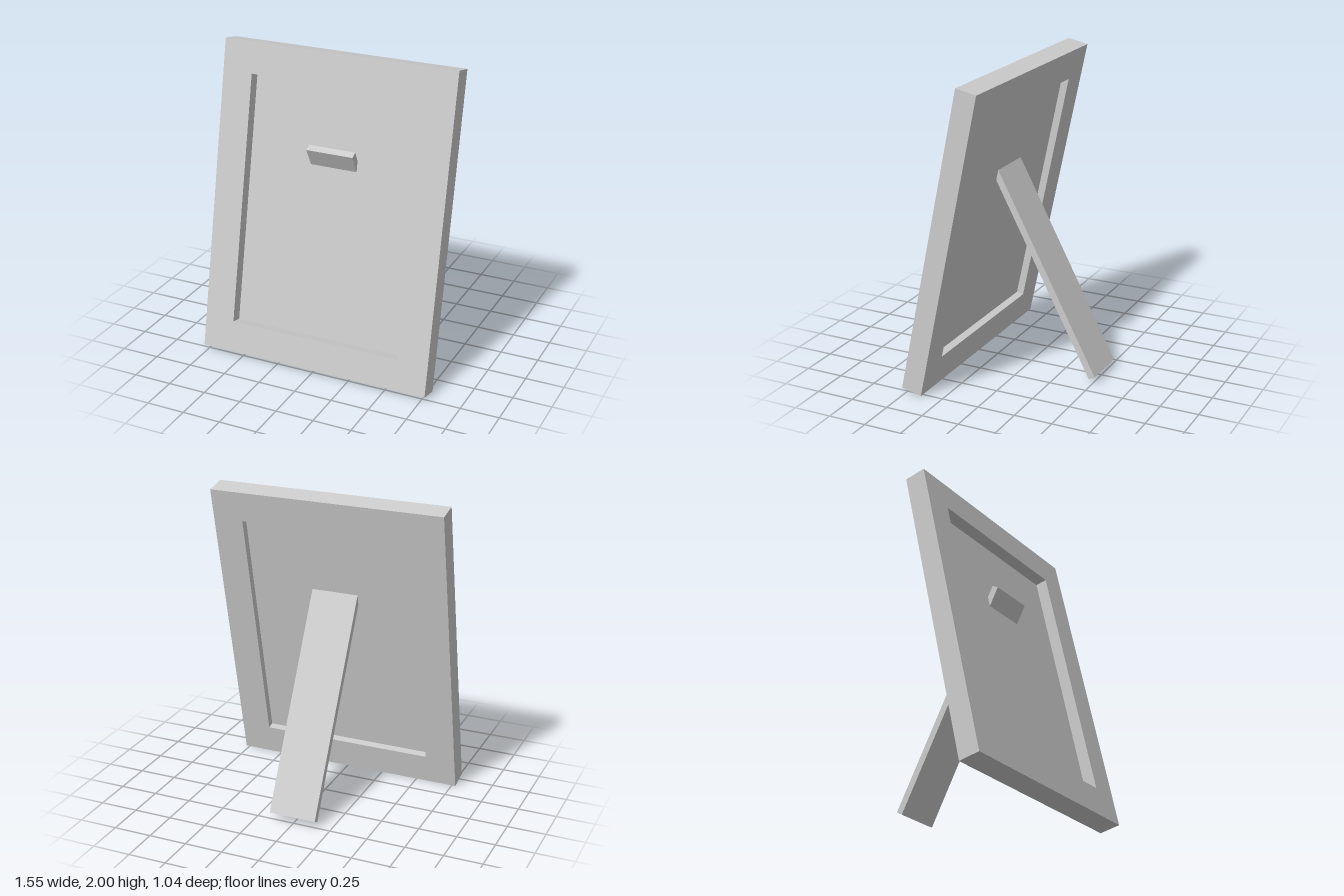
import * as THREE from 'three';

const material = new THREE.MeshStandardMaterial({ color: 0xcccccc, flatShading: true });

function addMesh(parent, name, geometry) {
  const mesh = new THREE.Mesh(geometry, material);
  mesh.name = name;
  parent.add(mesh);
  return mesh;
}

// Corners of a centred rectangle, counter-clockwise
function rectangle(w, h) {
  return [[-1, -1], [1, -1], [1, 1], [-1, 1]].map(([x, y]) => new THREE.Vector2(x * w / 2, y * h / 2));
}

export function createModel() {
  const model = new THREE.Group();
  model.name = 'pictureFrame';

  const width = 1.55, height = 2.014, depth = 0.138, border = 0.2;
  const innerWidth = width - 2 * border, innerHeight = height - 2 * border;

  // Leaning frame and the panel set inside it
  const front = new THREE.Group();
  front.name = 'leaningFrame';
  front.position.set(0, 1, 0.2475);
  front.rotation.x = -0.21;
  model.add(front);

  const outline = new THREE.Shape(rectangle(width, height));
  outline.holes.push(new THREE.Path(rectangle(innerWidth, innerHeight).reverse()));
  const border3d = new THREE.ExtrudeGeometry(outline, { depth, bevelEnabled: false });
  border3d.translate(0, 0, -depth / 2);
  addMesh(front, 'border', border3d);

  // Thin panel, recessed from both faces
  const panel = addMesh(front, 'panel', new THREE.BoxGeometry(innerWidth, innerHeight, 0.012));
  panel.position.z = -0.014;

  // Rear prop, its upper end passing through the panel
  const prop = addMesh(model, 'rearStand', new THREE.BoxGeometry(0.312, 1.545, 0.045));
  prop.position.set(0, 0.726, -0.14);
  prop.rotation.x = 0.485;

  return model;
}
